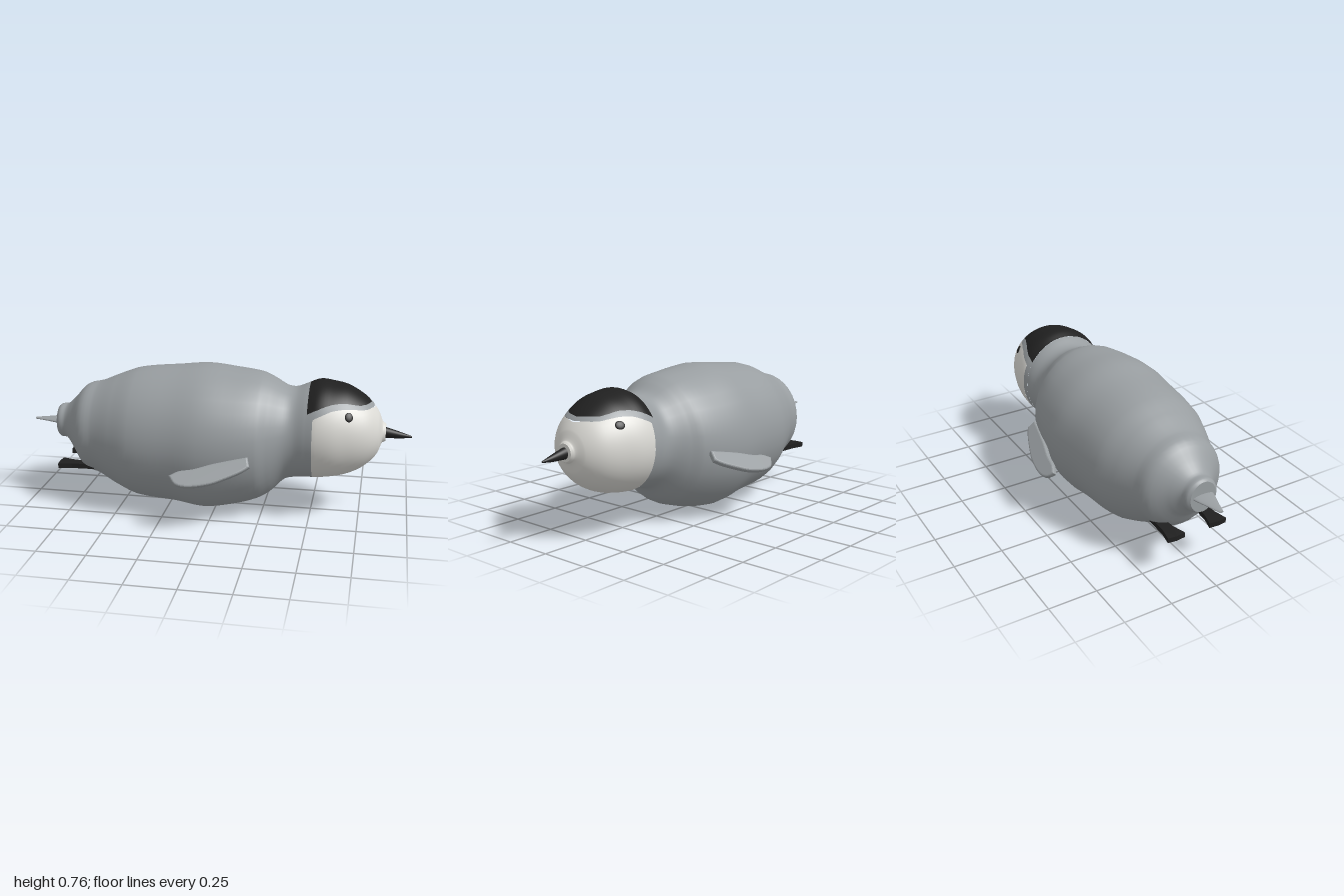
import * as THREE from 'three';

const mat = (name, color) => Object.assign(new THREE.MeshStandardMaterial({ color }), { name });

// Cross-sections: [x, top y, bottom y, half width z]
const BODY = [
  [-0.86, 0.5, 0.34, 0.07], [-0.845, 0.51, 0.33, 0.085], [-0.81, 0.515, 0.325, 0.092],
  [-0.77, 0.55, 0.275, 0.13], [-0.7, 0.625, 0.175, 0.21], [-0.62, 0.648, 0.145, 0.235],
  [-0.52, 0.69, 0.09, 0.28], [-0.41, 0.728, 0.045, 0.32], [-0.2, 0.752, 0.025, 0.343],
  [-0.05, 0.766, 0.004, 0.358], [0.1, 0.752, 0.028, 0.345], [0.23, 0.735, 0.068, 0.31],
  [0.29, 0.712, 0.105, 0.27], [0.36, 0.673, 0.175, 0.228], [0.41, 0.667, 0.192, 0.218],
  [0.47, 0.69, 0.198, 0.23], [0.53, 0.712, 0.201, 0.24], [0.6, 0.705, 0.21, 0.236],
  [0.67, 0.69, 0.226, 0.216], [0.74, 0.652, 0.258, 0.187], [0.79, 0.612, 0.297, 0.153],
  [0.83, 0.558, 0.345, 0.105], [0.85, 0.51, 0.398, 0.06], [0.86, 0.503, 0.404, 0.05],
  [0.868, 0.497, 0.41, 0.044],
];
const BEAK = [[0.85, 0.485, 0.423, 0.027], [0.9, 0.471, 0.424, 0.021], [0.95, 0.456, 0.426, 0.014], [1, 0.44, 0.432, 0.004]];
const TAIL = [[-1, 0.426, 0.416, 0.01], [-0.93, 0.431, 0.413, 0.032], [-0.86, 0.437, 0.409, 0.056], [-0.83, 0.437, 0.409, 0.056]];

// Smooth interpolation of the cross-sections at x
function sectionAt(S, x) {
  let i = 0;
  while (i < S.length - 2 && x > S[i + 1][0]) i++;
  const h = S[i + 1][0] - S[i][0], t = (x - S[i][0]) / h;
  const slope = (k, c) => {
    const a = S[Math.max(k - 1, 0)], b = S[Math.min(k + 1, S.length - 1)];
    return (b[c] - a[c]) / (b[0] - a[0]);
  };
  return [1, 2, 3].map((c) =>
    (1 + 2 * t) * (1 - t) ** 2 * S[i][c] + t * (1 - t) ** 2 * h * slope(i, c) +
    t * t * (3 - 2 * t) * S[i + 1][c] + t * t * (t - 1) * h * slope(i + 1, c));
}

// Point on the skin; angle a runs from the top toward +z
function skin(S, x, a) {
  const [top, bot, w] = sectionAt(S, x);
  return new THREE.Vector3(x, (top + bot) / 2 + (top - bot) / 2 * Math.cos(a), w * Math.sin(a));
}

function skinNormal(S, x, a) {
  const e = 0.001, x0 = Math.max(x - e, S[0][0]), x1 = Math.min(x + e, S[S.length - 1][0]);
  const dx = skin(S, x1, a).sub(skin(S, x0, a));
  const da = skin(S, x, a + 0.01).sub(skin(S, x, a - 0.01));
  return da.cross(dx).normalize();
}

// Piece of skin between x0 and x1, and between two angles that may vary with x
function patch(S, x0, x1, from = () => 0, to = () => Math.PI * 2, cols = 32) {
  const stops = [x0, ...S.map((s) => s[0]).filter((x) => x > x0 + 1e-4 && x < x1 - 1e-4), x1];
  const xs = [x0];
  for (let i = 1; i < stops.length; i++)
    for (let k = 1; k <= 4; k++) xs.push(stops[i - 1] + (stops[i] - stops[i - 1]) * k / 4);
  const pos = [], nor = [], idx = [];
  xs.forEach((x, i) => {
    const a0 = from(x), a1 = to(x);
    for (let j = 0; j <= cols; j++) {
      const a = a0 + (a1 - a0) * j / cols;
      pos.push(...skin(S, x, a).toArray());
      nor.push(...skinNormal(S, x, a).toArray());
      if (i && j) {
        const d = i * (cols + 1) + j, c = d - 1, b = d - cols - 1, e = b - 1;
        idx.push(e, b, c, b, d, c);
      }
    }
  });
  const g = new THREE.BufferGeometry();
  g.setAttribute('position', new THREE.Float32BufferAttribute(pos, 3));
  g.setAttribute('normal', new THREE.Float32BufferAttribute(nor, 3));
  g.setIndex(idx);
  return g;
}

// Flat end closing a skin; dir is +1 or -1 along x
function endDisc(S, dir) {
  const [x, top, bot, w] = dir > 0 ? S[S.length - 1] : S[0];
  return new THREE.CircleGeometry(1, 32).scale(w, (top - bot) / 2, 1)
    .rotateY(dir * Math.PI / 2).translate(x, (top + bot) / 2, 0);
}

// Linear lookup in a list of [x, value]
function lookup(list, x) {
  if (x <= list[0][0]) return list[0][1];
  for (let i = 1; i < list.length; i++) {
    const [xa, a] = list[i - 1], [xb, b] = list[i];
    if (x <= xb) return a + (b - a) * (x - xa) / (xb - xa);
  }
  return 0;
}

// Angles of the cap edge and of the upper edge of the pale face
const capEdge = (x) => lookup([[0.48, 0.98], [0.53, 0.93], [0.6, 0.78], [0.65, 0.72], [0.7, 0.68], [0.74, 0.6], [0.77, 0.42], [0.785, 0.2], [0.79, 0]], x);
const faceEdge = (x) => lookup([[0.51, 1.12], [0.55, 1.05], [0.6, 0.93], [0.65, 0.87], [0.7, 0.81], [0.75, 0.72], [0.78, 0.57], [0.8, 0.3], [0.806, 0]], x);

export function createModel() {
  const grey = mat('greyDown', 0x999ea1), pale = mat('paleFace', 0xdcdbd6), black = mat('black', 0x202020);
  const model = new THREE.Group();
  model.name = 'penguinChick';
  const add = (name, geo, m, parent = model) => {
    const mesh = new THREE.Mesh(geo, m);
    mesh.name = name;
    parent.add(mesh);
    return mesh;
  };
  const round = (f) => (x) => Math.PI * 2 - f(x);

  // Body and head skin
  add('body', patch(BODY, -0.86, 0.48), grey);
  add('rump', endDisc(BODY, -1), grey);
  add('nape', patch(BODY, 0.48, 0.51, capEdge, round(capEdge)), grey);
  add('cap', patch(BODY, 0.48, 0.79, (x) => -capEdge(x), capEdge), black);
  add('capBorderLeft', patch(BODY, 0.51, 0.806, capEdge, faceEdge, 6), grey);
  add('capBorderRight', patch(BODY, 0.51, 0.806, (x) => -faceEdge(x), (x) => -capEdge(x), 6), grey);
  add('face', patch(BODY, 0.51, 0.868, faceEdge, round(faceEdge)), pale);
  add('beakRim', endDisc(BODY, 1), pale);

  // Beak and tail
  add('beak', patch(BEAK, 0.85, 1), black);
  add('beakTip', endDisc(BEAK, 1), black);
  add('tail', patch(TAIL, -1, -0.83), grey);
  add('tailTip', endDisc(TAIL, -1), grey);

  // Flipper outline: x along the body, y outward and down from the shoulder
  const wing = new THREE.Shape();
  wing.moveTo(0.2, 0.012);
  wing.splineThru([[0.05, 0.055], [-0.05, 0.092], [-0.12, 0.108], [-0.158, 0.13]].map((p) => new THREE.Vector2(...p)));
  wing.splineThru([[-0.125, 0.165], [-0.06, 0.17], [0.03, 0.15], [0.1, 0.118], [0.17, 0.08], [0.21, 0.05]].map((p) => new THREE.Vector2(...p)));
  wing.closePath();
  const wingGeo = new THREE.ExtrudeGeometry(wing, { depth: 0.012, bevelThickness: 0.009, bevelSize: 0.01, bevelSegments: 3, curveSegments: 16 });
  wingGeo.translate(0, 0, -0.006).rotateX(Math.PI * 0.75).translate(0, 0.385, 0.315);

  // Foot outline, flaring toward the toes
  const sole = new THREE.Shape([[-0.64, 0.1], [-0.64, 0.145], [-0.76, 0.15], [-0.83, 0.165], [-0.835, 0.12], [-0.83, 0.07], [-0.76, 0.09]].map((p) => new THREE.Vector2(...p)));
  const footGeo = new THREE.ExtrudeGeometry(sole, { depth: 0.026, bevelEnabled: false });
  footGeo.rotateX(Math.PI / 2).translate(0, 0.228, 0);

  for (const s of [1, -1]) {
    const side = s > 0 ? 'Front' : 'Back';
    add('flipper' + side, wingGeo, grey).scale.z = s;
    add('foot' + side, footGeo, black).scale.z = s;
    // Eye lying flat on the skin
    const eye = add('eye' + side, new THREE.SphereGeometry(1, 16, 10).scale(0.021, 0.024, 0.006), black);
    eye.position.copy(skin(BODY, 0.685, s * 1.01));
    eye.quaternion.setFromUnitVectors(new THREE.Vector3(0, 0, 1), skinNormal(BODY, 0.685, s * 1.01));
  }
  return model;
}
